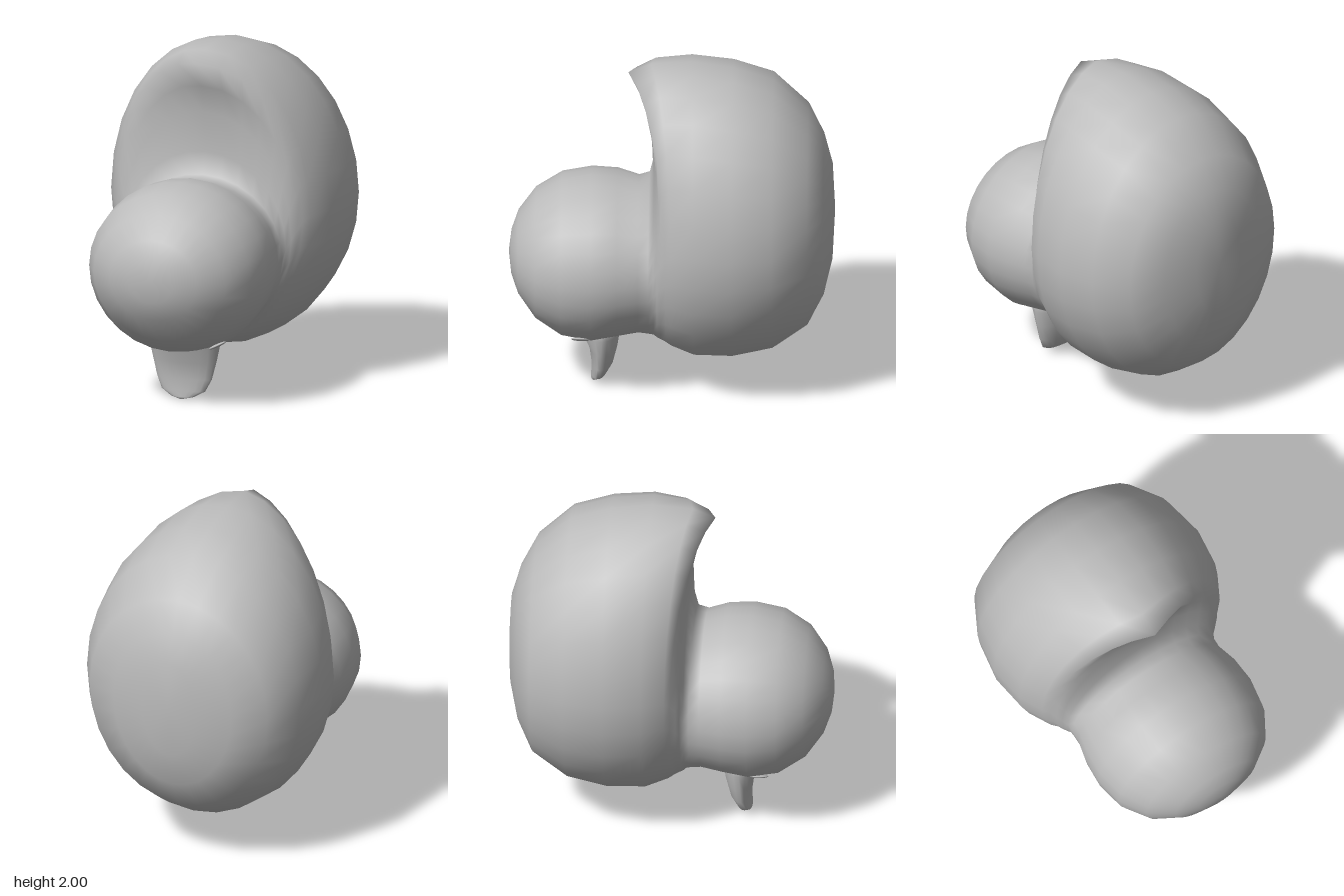
import * as THREE from 'three';
import { mergeVertices } from 'three/addons/utils/BufferGeometryUtils.js';

// Smooth closed surface through a list of stations; point(station, angle) gives [x, y, z].
function loft(stations, segments, point) {
  const pos = [], index = [];
  stations.forEach((s, i) => {
    for (let j = 0; j < segments; j++) {
      pos.push(...point(s, (j / segments) * Math.PI * 2));
      if (i === stations.length - 1) continue;
      const a = i * segments + j, b = i * segments + (j + 1) % segments;
      const c = a + segments, d = b + segments;
      index.push(a, b, c, b, d, c);
    }
  });
  let geo = new THREE.BufferGeometry();
  geo.setAttribute('position', new THREE.Float32BufferAttribute(pos, 3));
  geo.setIndex(index);
  geo = mergeVertices(geo, 1e-5);
  geo.computeVertexNormals();
  return geo;
}

export function createModel() {
  const group = new THREE.Group();
  const grey = new THREE.MeshStandardMaterial({ color: 0xbcbcbc });
  grey.name = 'grey';
  const add = (name, geo) => {
    const mesh = new THREE.Mesh(geo, grey);
    mesh.name = name;
    group.add(mesh);
    return mesh;
  };

  // Body, tail and head in one skin: z, bottom, widest height, top, half width, forward lean of the top
  const skin = [
    [-0.935, 1.08, 1.08, 1.08, 0, 0],
    [-0.92, 0.77, 1.07, 1.36, 0.17, 0],
    [-0.87, 0.56, 1.06, 1.53, 0.37, 0],
    [-0.78, 0.39, 1.05, 1.7, 0.56, 0],
    [-0.58, 0.25, 1.05, 1.89, 0.67, 0],
    [-0.35, 0.2, 1.05, 1.965, 0.71, 0],
    [-0.13, 0.2, 1.05, 2.0, 0.68, 0.02],
    [0.0, 0.25, 1.03, 1.985, 0.61, 0.12],
    [0.03, 0.27, 1.0, 1.93, 0.575, 0.22],
    [0.06, 0.29, 0.95, 1.78, 0.55, 0.1],
    [0.08, 0.3, 0.9, 1.62, 0.525, 0.045],
    [0.1, 0.32, 0.85, 1.38, 0.5, 0],
    [0.13, 0.33, 0.8, 1.25, 0.49, 0],
    [0.19, 0.34, 0.79, 1.23, 0.49, 0],
    [0.31, 0.32, 0.79, 1.27, 0.52, 0],
    [0.46, 0.29, 0.785, 1.28, 0.53, 0],
    [0.63, 0.32, 0.785, 1.25, 0.5, 0],
    [0.78, 0.42, 0.79, 1.16, 0.41, 0],
    [0.88, 0.56, 0.795, 1.03, 0.27, 0],
    [0.92, 0.67, 0.8, 0.92, 0.14, 0],
    [0.935, 0.8, 0.8, 0.8, 0, 0],
  ];
  add('bodyAndHead', loft(skin, 28, ([z, bottom, mid, top, w, lean], t) => {
    const c = Math.cos(t), s = Math.sin(t);
    const y = mid + s * (s > 0 ? top - mid : mid - bottom);
    return [w * c, y, z + (s > 0 ? lean * (1 - Math.abs(c)) : 0)];
  }));

  // Beak hanging under the head: y, half width, front z, edge z, back z
  const beak = [
    [0.42, 0, 0.42, 0.42, 0.42],
    [0.41, 0.22, 0.54, 0.4, 0.29],
    [0.32, 0.215, 0.52, 0.4, 0.295],
    [0.22, 0.195, 0.475, 0.405, 0.31],
    [0.12, 0.17, 0.462, 0.41, 0.335],
    [0.05, 0.135, 0.462, 0.425, 0.375],
    [0.015, 0.07, 0.465, 0.445, 0.425],
    [0, 0, 0.462, 0.462, 0.462],
  ];
  add('beak', loft(beak, 20, ([y, w, front, edge, back], t) => {
    const s = Math.sin(t);
    return [w * Math.cos(t), y, edge + s * (s > 0 ? front - edge : edge - back)];
  }));

  // Eyes: flattened domes on the underside of the head
  for (const side of [-1, 1]) {
    const eye = add(side > 0 ? 'leftEye' : 'rightEye', new THREE.SphereGeometry(0.055, 16, 8));
    eye.scale.z = 0.18;
    eye.position.set(side * 0.25, 0.355, 0.52);
    eye.lookAt(side * 0.7, -0.53, 0.56);
  }
  return group;
}
